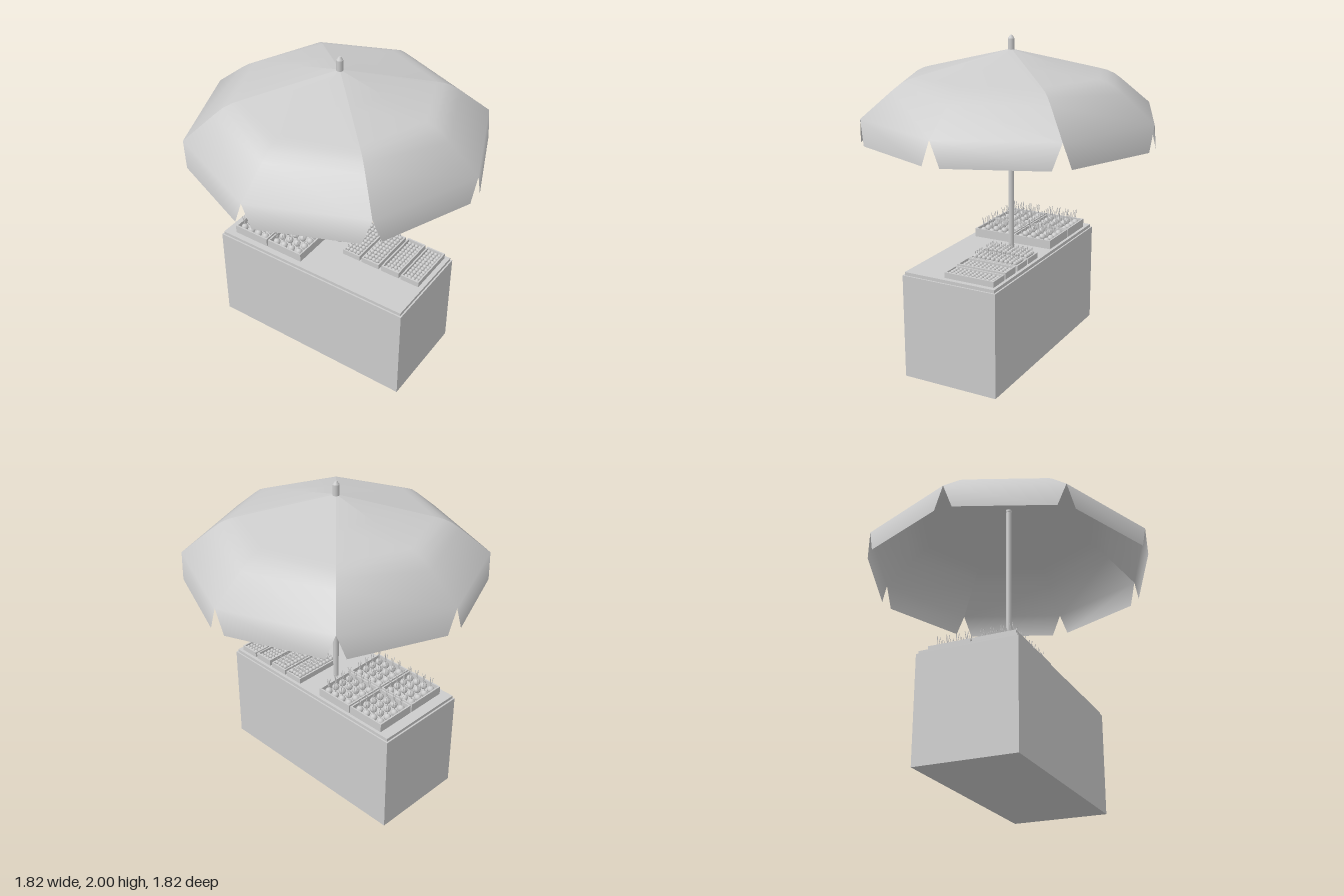
import * as THREE from 'three';
import { mergeGeometries } from 'three/addons/utils/BufferGeometryUtils.js';

const grey = new THREE.MeshStandardMaterial({ color: 0xcccccc });
const cloth = new THREE.MeshStandardMaterial({ color: 0xcccccc, side: THREE.DoubleSide });

function add(parent, name, geometry, material = grey) {
  const mesh = new THREE.Mesh(geometry, material);
  mesh.name = name;
  parent.add(mesh);
  return mesh;
}

const box = (x0, x1, y0, y1, z0, z1) =>
  new THREE.BoxGeometry(x1 - x0, y1 - y0, z1 - z0)
    .translate((x0 + x1) / 2, (y0 + y1) / 2, (z0 + z1) / 2);

// Small repeatable random generator
let seed = 7;
const rand = () => (seed = (seed * 16807) % 2147483647) / 2147483647;

// A quarter of the canopy: two cloth panels with a notched valance below each
function canopyQuarter() {
  const profile = [[0, 1.92], [0.3, 1.847], [0.57, 1.78], [0.62, 1.766],
    [0.67, 1.742], [0.72, 1.705], [0.91, 1.55]];
  const pos = [], index = [];
  const rib = (k) => [Math.sin((k * Math.PI) / 4), Math.cos((k * Math.PI) / 4)];
  for (const [r, y] of profile) {
    for (const k of [-1, 0, 1]) pos.push(rib(k)[0] * r, y, rib(k)[1] * r);
  }
  const quad = (tl, bl, br, tr) => index.push(tl, bl, br, tl, br, tr);
  const last = profile.length - 1;
  for (let i = 0; i < last; i++) {
    for (let k = 0; k < 2; k++) {
      const a = i * 3 + k;
      if (i === 0) index.push(a, a + 3, a + 4);
      else quad(a, a + 3, a + 4, a + 1);
    }
  }
  for (let k = 0; k < 2; k++) {
    const [ax, az] = rib(k - 1), [bx, bz] = rib(k);
    const first = pos.length / 3;
    for (const t of [0.085, 0.915]) {
      pos.push((ax + (bx - ax) * t) * 0.927, 1.4, (az + (bz - az) * t) * 0.927);
    }
    quad(last * 3 + k, first, first + 1, last * 3 + k + 1);
  }
  const g = new THREE.BufferGeometry();
  g.setAttribute('position', new THREE.Float32BufferAttribute(pos, 3));
  g.setIndex(index);
  g.computeVertexNormals();
  return g;
}

// Open crate: four walls and a floor
function crate(parent, name, x0, x1, z0, z1, top) {
  const group = new THREE.Group();
  group.name = name;
  parent.add(group);
  const w = 0.01, y = 0.67;
  add(group, 'crateBox', mergeGeometries([
    box(x0, x1, y, top, z0, z0 + w),
    box(x0, x1, y, top, z1 - w, z1),
    box(x0, x0 + w, y, top, z0 + w, z1 - w),
    box(x1 - w, x1, y, top, z0 + w, z1 - w),
    box(x0 + w, x1 - w, y, y + 0.012, z0 + w, z1 - w),
  ]));
  return group;
}

// Rows of round produce, each with an optional tuft of thin leaves
function fill(group, x0, x1, z0, z1, nx, nz, radius, y, leafHeight, leaves) {
  const balls = [], tufts = [], m = 0.012;
  for (let i = 0; i < nx; i++) {
    for (let j = 0; j < nz; j++) {
      const x = x0 + m + ((i + 0.5) / nx) * (x1 - x0 - 2 * m);
      const z = z0 + m + ((j + 0.5) / nz) * (z1 - z0 - 2 * m);
      balls.push(new THREE.SphereGeometry(radius, 8, 6).translate(x, y, z));
      const turn = rand() * Math.PI * 2;
      for (let k = 0; k < leaves; k++) {
        tufts.push(new THREE.CylinderGeometry(0.002, 0.0015, leafHeight, 4)
          .translate(0, leafHeight / 2, 0)
          .rotateZ(0.17)
          .rotateY(turn + (k * Math.PI * 2) / leaves)
          .translate(x, y + radius * 0.8, z));
      }
    }
  }
  add(group, 'produce', mergeGeometries(balls));
  if (tufts.length) add(group, 'leaves', mergeGeometries(tufts));
}

export function createModel() {
  const model = new THREE.Group();
  model.name = 'marketStall';

  // Counter with a slightly inset top board
  add(model, 'counter', box(-0.68, 0.68, 0, 0.65, -0.26, 0.36));
  add(model, 'counterTop', box(-0.67, 0.67, 0.65, 0.67, -0.25, 0.35));

  // Parasol
  const parasol = new THREE.Group();
  parasol.name = 'parasol';
  model.add(parasol);
  add(parasol, 'pole', new THREE.CylinderGeometry(0.018, 0.018, 1.27, 12).translate(0, 1.3, 0));
  add(parasol, 'poleCap', new THREE.CylinderGeometry(0.02, 0.02, 0.08, 12).translate(0, 1.94, 0));
  add(parasol, 'poleTip', new THREE.CylinderGeometry(0.007, 0.02, 0.02, 12).translate(0, 1.99, 0));
  for (let q = 0; q < 4; q++) {
    add(parasol, 'canopyPanels', canopyQuarter(), cloth).rotation.y = (q * Math.PI) / 2;
  }

  // Four large crates of leafy roots
  for (const [x0, x1] of [[-0.6, -0.35], [-0.34, -0.085]]) {
    for (const [z0, z1] of [[-0.23, 0.035], [0.045, 0.31]]) {
      const c = crate(model, 'largeCrate', x0, x1, z0, z1, 0.725);
      fill(c, x0, x1, z0, z1, 4, 4, 0.023, 0.705, 0.068, 3);
    }
  }

  // Four narrow crates: two of stalked fruit, two of small fruit
  [0.09, 0.23, 0.375, 0.515].forEach((x0, i) => {
    const x1 = x0 + 0.125, top = i === 2 ? 0.71 : 0.705;
    const c = crate(model, 'narrowCrate', x0, x1, -0.23, 0.095, top);
    if (i < 2) fill(c, x0, x1, -0.23, 0.095, 4, 10, 0.014, 0.707, 0.022, 2);
    else fill(c, x0, x1, -0.23, 0.095, 4, 11, 0.0125, 0.693, 0, 0);
  });

  return model;
}
